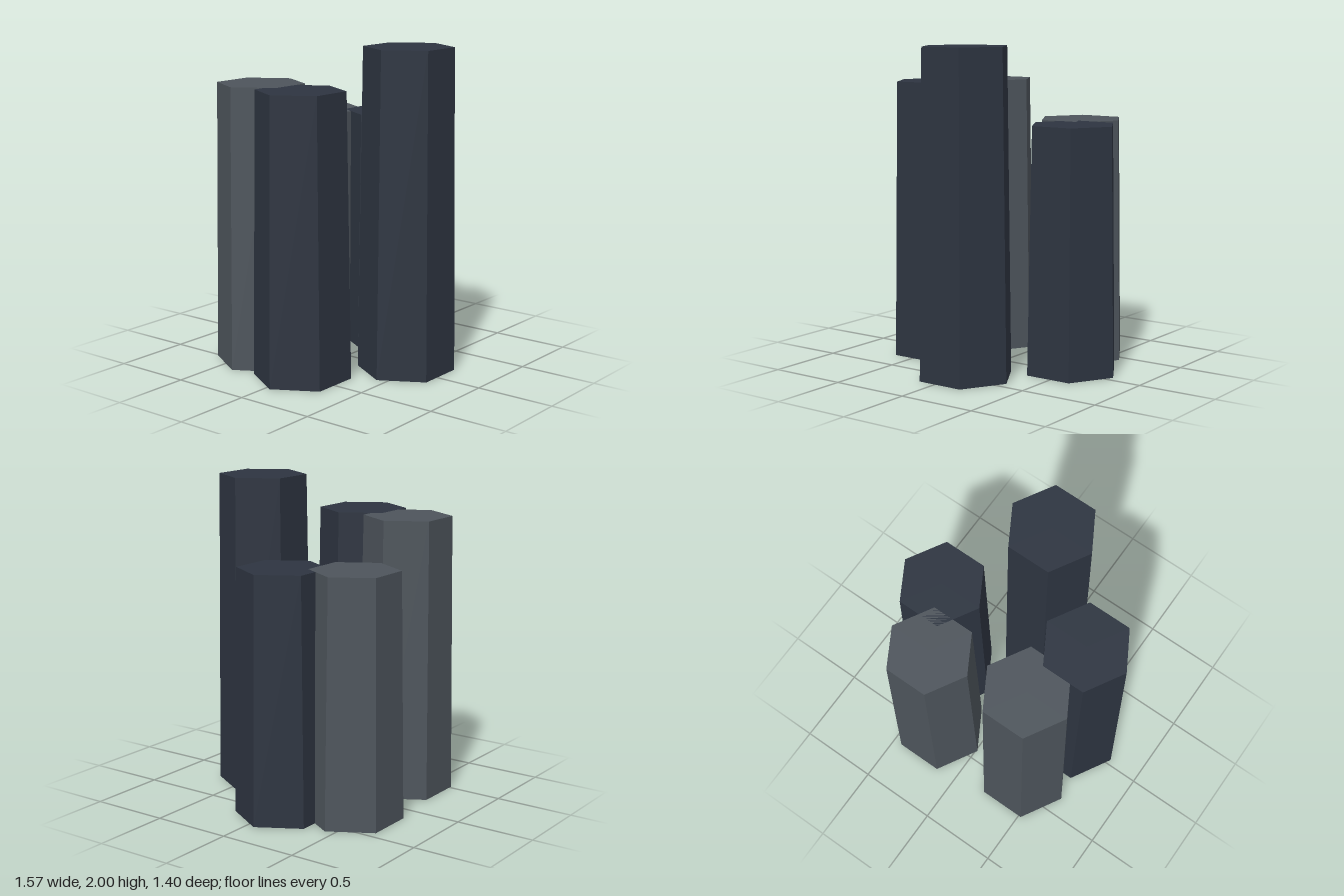
import * as THREE from 'three';

const BOTTOM_RADIUS = 0.302;
const TOP_RADIUS = 0.274;

export function createModel() {
  const model = new THREE.Group();
  model.name = 'hexagonalColumns';

  const darkStone = new THREE.MeshStandardMaterial({ color: 0x2d3440, flatShading: true });
  const greyStone = new THREE.MeshStandardMaterial({ color: 0x4d545b, flatShading: true });

  // Tapered six-sided column standing on the ground, corners pointing along x
  function addColumn(name, x, z, height, material) {
    const geometry = new THREE.CylinderGeometry(TOP_RADIUS, BOTTOM_RADIUS, height, 6, 1, false, Math.PI / 2);
    geometry.translate(0, height / 2, 0);
    const column = new THREE.Mesh(geometry, material);
    column.name = name;
    column.position.set(x, 0, z);
    model.add(column);
  }

  // Ring of columns in three heights
  addColumn('frontColumn', 0.036, 0.436, 2, darkStone);
  addColumn('rightColumn', -0.488, 0.034, 1.76, darkStone);
  addColumn('backRightColumn', -0.366, -0.383, 1.76, greyStone);
  addColumn('backLeftColumn', 0.291, -0.438, 1.525, greyStone);
  addColumn('leftColumn', 0.482, -0.052, 1.525, darkStone);

  return model;
}
